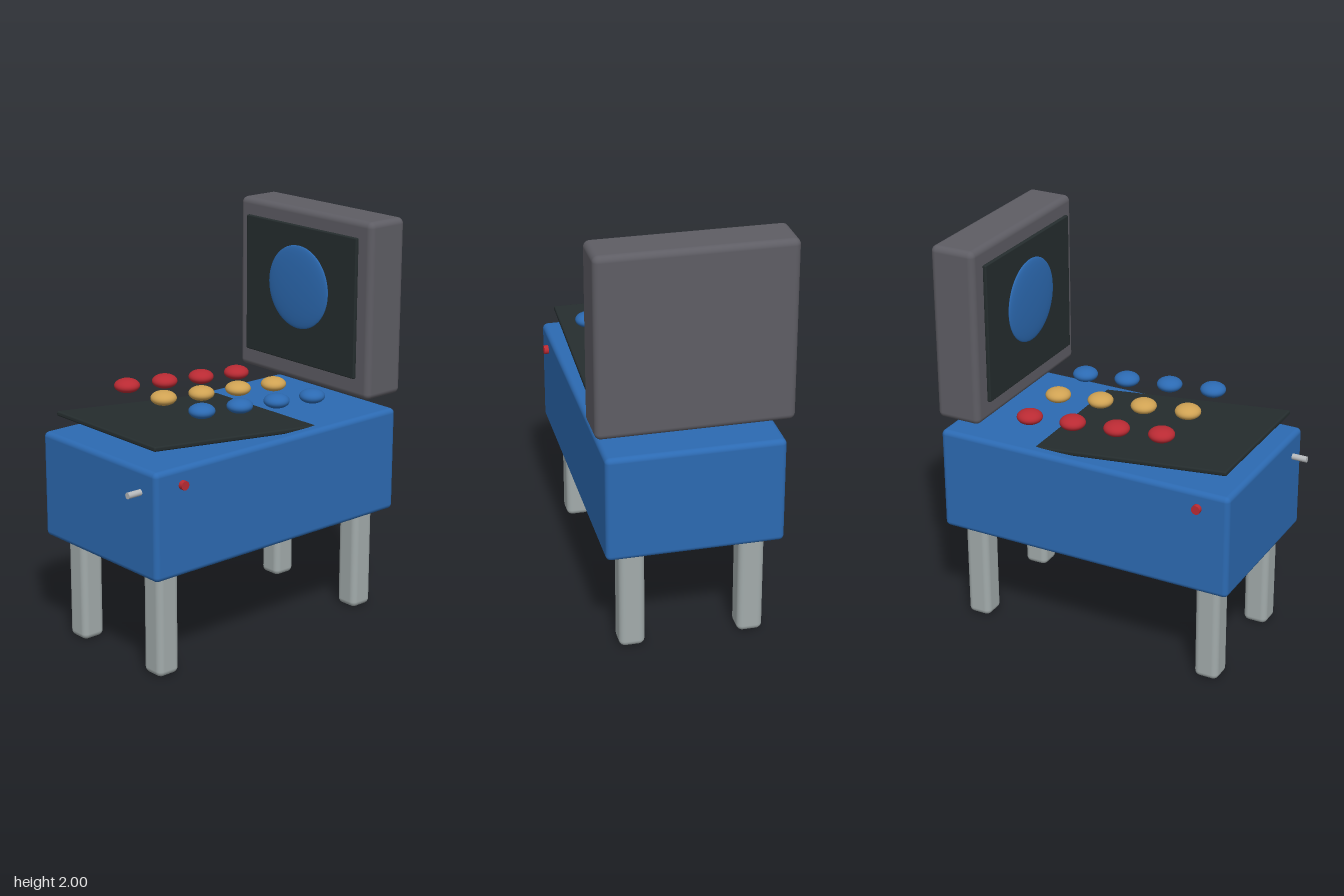
import * as THREE from 'three';
import { RoundedBoxGeometry } from 'three/addons/geometries/RoundedBoxGeometry.js';

const material = (color) => new THREE.MeshStandardMaterial({ color });

export function createModel() {
  const model = new THREE.Group();
  model.name = 'pinballTable';

  const blue = material(0x2c6ab2);
  const red = material(0xb92a33);
  const gold = material(0xcfa253);
  const dark = material(0x252d2e);
  const grey = material(0x5e5d64);
  const steel = material(0xa2abab);

  function add(name, geometry, mat, x, y, z) {
    const mesh = new THREE.Mesh(geometry, mat);
    mesh.name = name;
    mesh.position.set(x, y, z);
    model.add(mesh);
    return mesh;
  }
  const box = (w, h, d, r) => new RoundedBoxGeometry(w, h, d, 4, r);

  // Cabinet
  add('cabinet', box(0.84, 0.523, 1.53, 0.025), blue, 0, 0.7785, -0.037);

  // Legs, running a little way into the cabinet
  const legGeometry = box(0.123, 0.6, 0.123, 0.03);
  for (const x of [-0.285, 0.285]) {
    for (const z of [0.592, -0.673]) add('leg', legGeometry, steel, x, 0.3, z);
  }

  // Sloping playfield, its rear end sunk into the cabinet
  const slope = 0.105;
  const length = 1.2;
  const playfield = add('playfield', box(0.73, 0.023, length, 0.008), dark,
    0, 1.133 - Math.sin(slope) * length / 2, 0.685 - Math.cos(slope) * length / 2);
  playfield.rotation.x = -slope;

  // Bumpers: three coloured columns rising towards the front
  const bumperGeometry = new THREE.SphereGeometry(0.0625, 32, 20).scale(1, 0.55, 1);
  [red, gold, blue].forEach((mat, column) => {
    for (let row = 0; row < 4; row++) {
      add('bumper', bumperGeometry, mat,
        -0.287 + column * 0.275, 1.151 + row * 0.022, -0.379 + row * 0.2335);
    }
  });

  // Backbox with its screen and domed disc
  add('backbox', box(0.92, 0.87, 0.23, 0.03), grey, 0, 1.565, -0.673);
  add('screen', box(0.77, 0.69, 0.02, 0.006), dark, 0, 1.575, -0.543);
  const disc = add('screenDisc', new THREE.SphereGeometry(0.208, 48, 24), blue, 0, 1.617, -0.527);
  disc.scale.z = 0.095;

  // Side buttons
  const buttonGeometry = new THREE.CylinderGeometry(0.022, 0.022, 0.05, 24).rotateZ(Math.PI / 2);
  for (const side of [-1, 1]) add('sideButton', buttonGeometry, red, side * 0.417, 0.958, 0.572);

  // Plunger
  const plungerGeometry = new THREE.CylinderGeometry(0.015, 0.015, 0.12, 24).rotateX(Math.PI / 2);
  add('plunger', plungerGeometry, material(0xb5b8bb), 0.312, 0.929, 0.742);

  return model;
}
